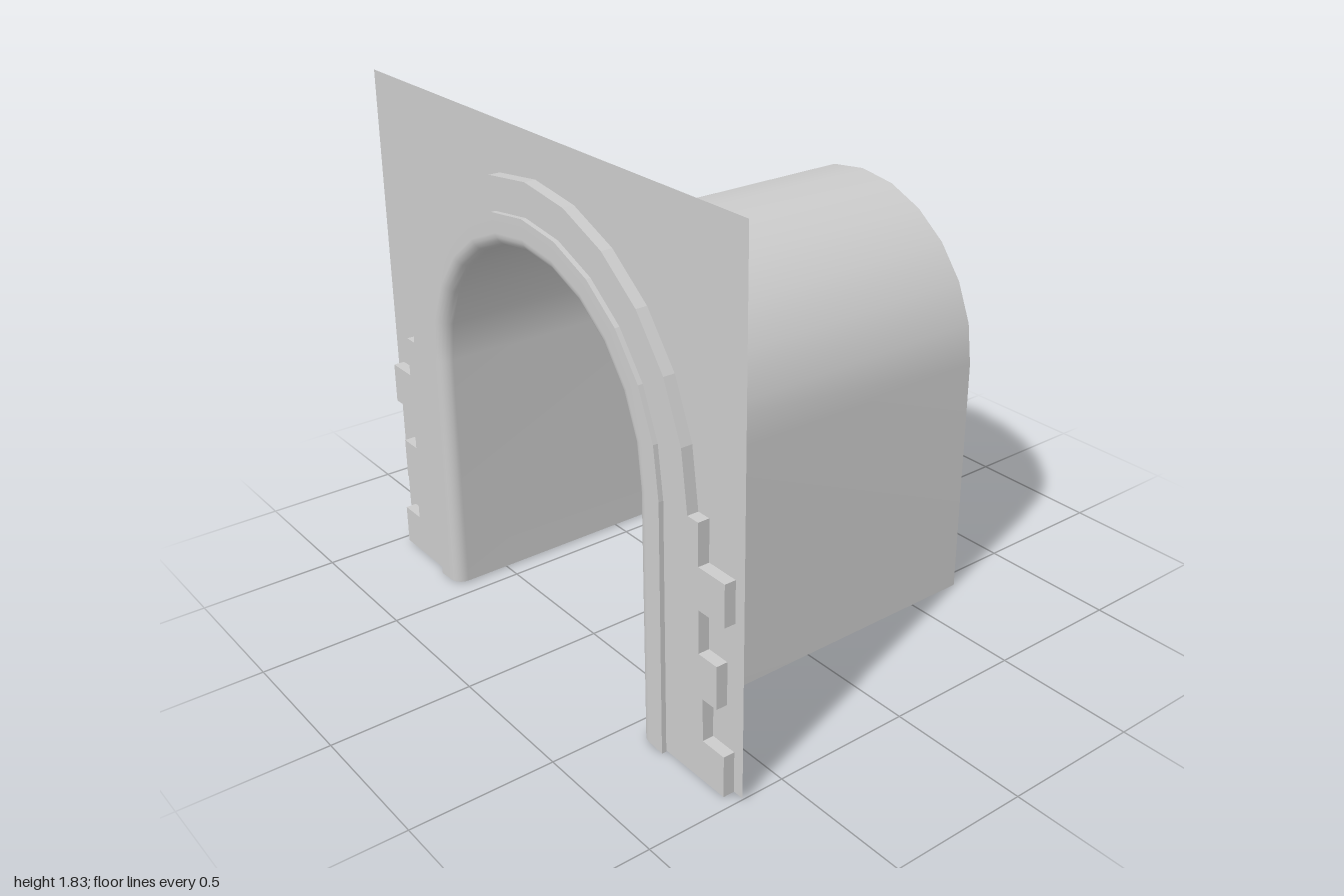
import * as THREE from 'three';

const SPRING = 0.89; // height where the legs turn into the arch
const BACK = -0.71, WALL = 0.655, FACE = 0.695, FRONT = 0.712;
const material = new THREE.MeshStandardMaterial({ color: 0xcccccc, side: THREE.DoubleSide });

// Arc of the arch, from +x over the top to -x
function arc(r) {
  return Array.from({ length: 13 }, (_, i) => {
    const a = (i * Math.PI) / 12;
    return [r * Math.cos(a), SPRING + r * Math.sin(a)];
  });
}

// Horseshoe path: straight legs plus the arc
const arch = (r, foot = 0.005) => [[r, foot], ...arc(r), [-r, foot]];

// Skin between rows of [path, z]
function loft(name, rows, smooth) {
  const n = rows[0][0].length;
  const positions = rows.flatMap(([path, z]) => path.flatMap(([x, y]) => [x, y, z]));
  const index = [];
  for (let j = 0; j < rows.length - 1; j++) {
    for (let i = 0; i < n - 1; i++) {
      const a = j * n + i, b = a + n;
      index.push(a, a + 1, b, a + 1, b + 1, b);
    }
  }
  let geometry = new THREE.BufferGeometry();
  geometry.setAttribute('position', new THREE.Float32BufferAttribute(positions, 3));
  geometry.setIndex(index);
  if (!smooth) geometry = geometry.toNonIndexed();
  geometry.computeVertexNormals();
  return named(name, geometry);
}

// Flat sheet between an outer and an inner open path
function sheet(name, outer, inner, z) {
  const points = [...outer, ...[...inner].reverse()].map(([x, y]) => new THREE.Vector2(x, y));
  return named(name, new THREE.ShapeGeometry(new THREE.Shape(points)).translate(0, 0, z));
}

function named(name, geometry) {
  const mesh = new THREE.Mesh(geometry, material);
  mesh.name = name;
  return mesh;
}

export function createModel() {
  const group = new THREE.Group();
  group.name = 'tunnelPortal';

  // Outline of the stone surround: toothed legs below, arch above
  const teeth = [
    [0.96, 0.005], [0.96, 0.15], [0.86, 0.15], [0.86, 0.3], [0.925, 0.3], [0.925, 0.45],
    [0.84, 0.45], [0.84, 0.6], [0.96, 0.6], [0.96, 0.745], [0.84, 0.745], [0.84, SPRING],
  ];
  const mirrored = teeth.map(([x, y]) => [-x, y]).reverse();
  const outline = [...teeth, ...arc(0.79), ...mirrored];

  // Thin wall around the surround
  const wallEdge = [[1, 0.005], [1, 1.825], [-1, 1.825], [-1, 0.005]];
  group.add(sheet('wall', wallEdge, outline, WALL));

  // Raised stone surround
  group.add(loft('surroundEdge', [[outline, WALL], [outline, FACE]], false));
  group.add(sheet('surroundFace', outline, arch(0.677), FACE));

  // Step up to the inner trim
  const trim = arch(0.677, 0);
  group.add(loft('trimEdge', [[trim, FACE], [trim, FRONT]], false));

  // Trim face, rounded lip and tunnel lining in one smooth skin
  const lip = 0.045;
  const lining = [[trim, FRONT]];
  for (let i = 0; i <= 5; i++) {
    const a = (i / 5) * (Math.PI / 2);
    lining.push([arch(0.565 + lip * (1 - Math.sin(a))), FRONT - lip * (1 - Math.cos(a))]);
  }
  lining.push([arch(0.565), BACK]);
  group.add(loft('tunnelLining', lining, true));

  return group;
}
